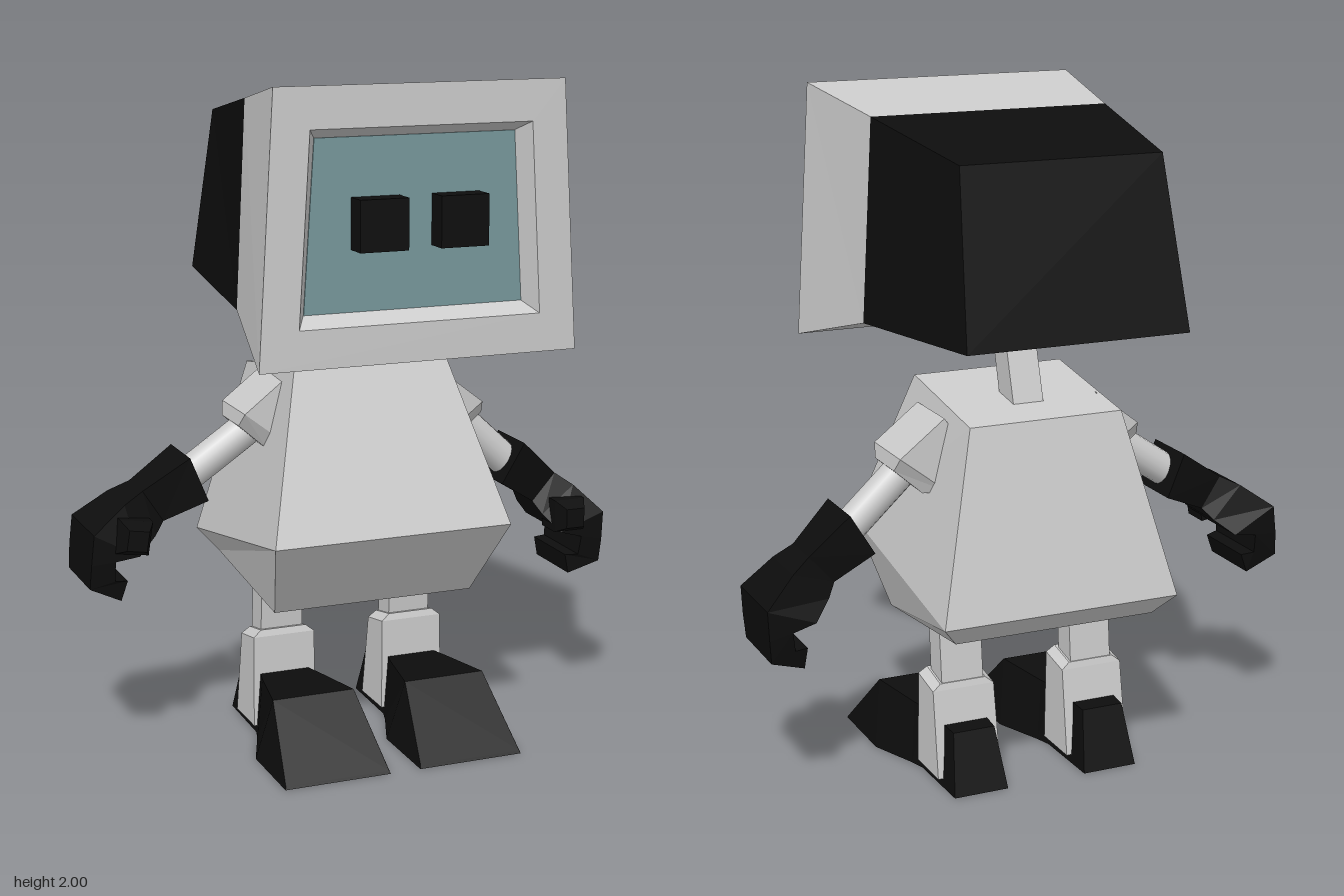
import * as THREE from 'three';

const grey = new THREE.MeshStandardMaterial({ color: 0xcccccc, flatShading: true });
const smoothGrey = new THREE.MeshStandardMaterial({ color: 0xcccccc });
const black = new THREE.MeshStandardMaterial({ color: 0x0d0d0d, flatShading: true });
const glass = new THREE.MeshStandardMaterial({ color: 0x77989c, flatShading: true });

// Skins a row of four-cornered rings and caps both ends, facing outward.
function loft(rings) {
  const tris = [];
  const quad = (a, b, c, d) => tris.push([a, b, c], [a, c, d]);
  for (let i = 0; i < rings.length - 1; i++) {
    const p = rings[i], q = rings[i + 1];
    for (let j = 0; j < 4; j++) {
      const k = (j + 1) % 4;
      quad(p[j], p[k], q[k], q[j]);
    }
  }
  const first = rings[0], last = rings[rings.length - 1];
  quad(first[3], first[2], first[1], first[0]);
  quad(...last);
  const V = (p) => new THREE.Vector3(...p);
  const volume = tris.reduce((s, [a, b, c]) => s + V(a).dot(V(b).cross(V(c))), 0);
  if (volume < 0) tris.forEach((t) => t.reverse());
  const g = new THREE.BufferGeometry();
  g.setAttribute('position', new THREE.Float32BufferAttribute(tris.flat(2), 3));
  g.computeVertexNormals();
  return g;
}

function add(parent, name, geometry, material) {
  const mesh = new THREE.Mesh(geometry, material);
  mesh.name = name;
  parent.add(mesh);
  return mesh;
}

// Upright trapezoid: bottom edge (x0, x1, y, z), then top edge
const face = (bx0, bx1, by, bz, tx0, tx1, ty, tz) =>
  [[bx0, by, bz], [bx1, by, bz], [tx1, ty, tz], [tx0, ty, tz]];

// Level ring with separate front and back heights
const level = (x0, x1, yf, zf, yb, zb) =>
  [[x0, yf, zf], [x1, yf, zf], [x1, yb, zb], [x0, yb, zb]];

// Ring across a limb: outer and inner point in the xy plane, spread over z
const across = (s) => ([ox, oy, ix, iy, z0, z1]) =>
  [[s * ox, oy, z0], [s * ox, oy, z1], [s * ix, iy, z1], [s * ix, iy, z0]];

function makeHead() {
  const head = new THREE.Group();
  head.name = 'head';
  const seam = face(-0.39, 0.415, 1.345, 0.11, -0.36, 0.382, 1.94, 0.11);
  const rear = face(-0.325, 0.35, 1.375, -0.5, -0.29, 0.32, 1.865, -0.385);
  const rim = face(-0.46, 0.485, 1.24, 0.492, -0.415, 0.437, 2, 0.492);
  const opening = face(-0.345, 0.372, 1.35, 0.492, -0.312, 0.34, 1.885, 0.492);
  const screen = (z) => face(-0.312, 0.34, 1.38, z, -0.28, 0.312, 1.857, z);
  add(head, 'headBack', loft([rear, seam]), black);
  add(head, 'screenFrame', loft([seam, rim, opening, screen(0.435)]), grey);
  add(head, 'screen', loft([screen(0.425), screen(0.438)]), glass);
  for (const x of [-0.103, 0.135]) {
    add(head, 'eye', new THREE.BoxGeometry(0.142, 0.143, 0.075), black).position.set(x, 1.623, 0.468);
  }
  return head;
}

function makeArm(s) {
  const arm = new THREE.Group();
  arm.name = s > 0 ? 'leftArm' : 'rightArm';
  arm.position.set(s > 0 ? 0.381 : -0.323, s > 0 ? 0.927 : 0.952, 0);

  add(arm, 'shoulder', loft([
    [-0.11, 0.18, -0.2, 0.05, -0.15, 0.055],
    [0.027, 0.074, -0.12, -0.04, -0.15, 0.055],
    [0.037, 0.035, -0.05, -0.042, -0.125, 0.025],
  ].map(across(s))), grey);

  // The right arm is raised a little further
  const lower = new THREE.Group();
  lower.name = 'lowerArm';
  lower.rotation.z = s > 0 ? 0 : -0.157;
  arm.add(lower);

  const tube = add(lower, 'armTube', new THREE.CylinderGeometry(0.05, 0.05, 0.27, 16), smoothGrey);
  tube.position.set(s * 0.063, -0.059, -0.049);
  tube.rotation.z = s * 0.82;

  // Cuff, wrist, knuckles and curled fingers
  add(lower, 'glove', loft([
    [0.18, -0.074, 0.106, -0.196, -0.148, 0.038],
    [0.3, -0.186, 0.225, -0.27, -0.128, 0.008],
    [0.355, -0.225, 0.25, -0.31, -0.15, 0.03],
    [0.444, -0.312, 0.3, -0.365, -0.183, 0.065],
    [0.44, -0.4, 0.37, -0.385, -0.183, 0.065],
    [0.434, -0.471, 0.362, -0.443, -0.175, 0.06],
    [0.333, -0.503, 0.322, -0.443, -0.165, 0.05],
  ].map(across(s))), black);
  const thumb = (z, h) => [[-h, -h], [h, -h], [h, h], [-h, h]]
    .map(([x, y]) => [s * (0.325 + x), -0.31 + y, z]);
  add(lower, 'thumb', loft([thumb(-0.02, 0.05), thumb(0.065, 0.05), thumb(0.108, 0.03)]), black);
  return arm;
}

function makeLeg(s) {
  const leg = new THREE.Group();
  leg.name = s > 0 ? 'leftLeg' : 'rightLeg';
  leg.position.x = 0.015 + s * 0.21;
  const ring = (w, yf, zf, yb, zb) => level(-w, w, yf, zf, yb, zb);
  add(leg, 'thigh', loft([
    ring(0.066, 0.3, -0.078, 0.29, -0.162), ring(0.066, 0.52, -0.06, 0.52, -0.14),
  ]), grey);
  add(leg, 'shin', loft([
    ring(0.1, 0.025, -0.05, 0.025, -0.21),
    ring(0.097, 0.305, -0.054, 0.285, -0.168),
    ring(0.072, 0.325, -0.06, 0.305, -0.163),
  ]), grey);
  // Wide toe tapering to a narrow heel: bottom z, top z, top y, half widths
  add(leg, 'foot', loft([
    [0.395, 0.39, 0.008, 0.163, 0.16],
    [0.14, 0.195, 0.197, 0.163, 0.127],
    [-0.01, 0.0, 0.19, 0.105, 0.09],
    [-0.06, -0.06, 0.188, 0.09, 0.075],
    [-0.3, -0.245, 0.18, 0.085, 0.065],
  ].map(([zb, zt, y, wb, wt]) => face(-wb, wb, 0, zb, -wt, wt, y, zt))), black);
  return leg;
}

export function createModel() {
  const robot = new THREE.Group();
  robot.name = 'robot';
  robot.add(makeHead());
  add(robot, 'neck', loft([
    level(-0.035, 0.06, 1.1, -0.07, 1.08, -0.175),
    level(-0.035, 0.06, 1.42, 0.02, 1.42, -0.07),
  ]), grey);
  add(robot, 'torso', loft([
    level(-0.3, 0.325, 0.45, 0.155, 0.5, -0.35),
    level(-0.355, 0.38, 0.69, 0.32, 0.565, -0.405),
    level(-0.225, 0.25, 1.17, 0.13, 1.11, -0.285),
  ]), grey);
  for (const s of [1, -1]) robot.add(makeArm(s), makeLeg(s));
  return robot;
}
